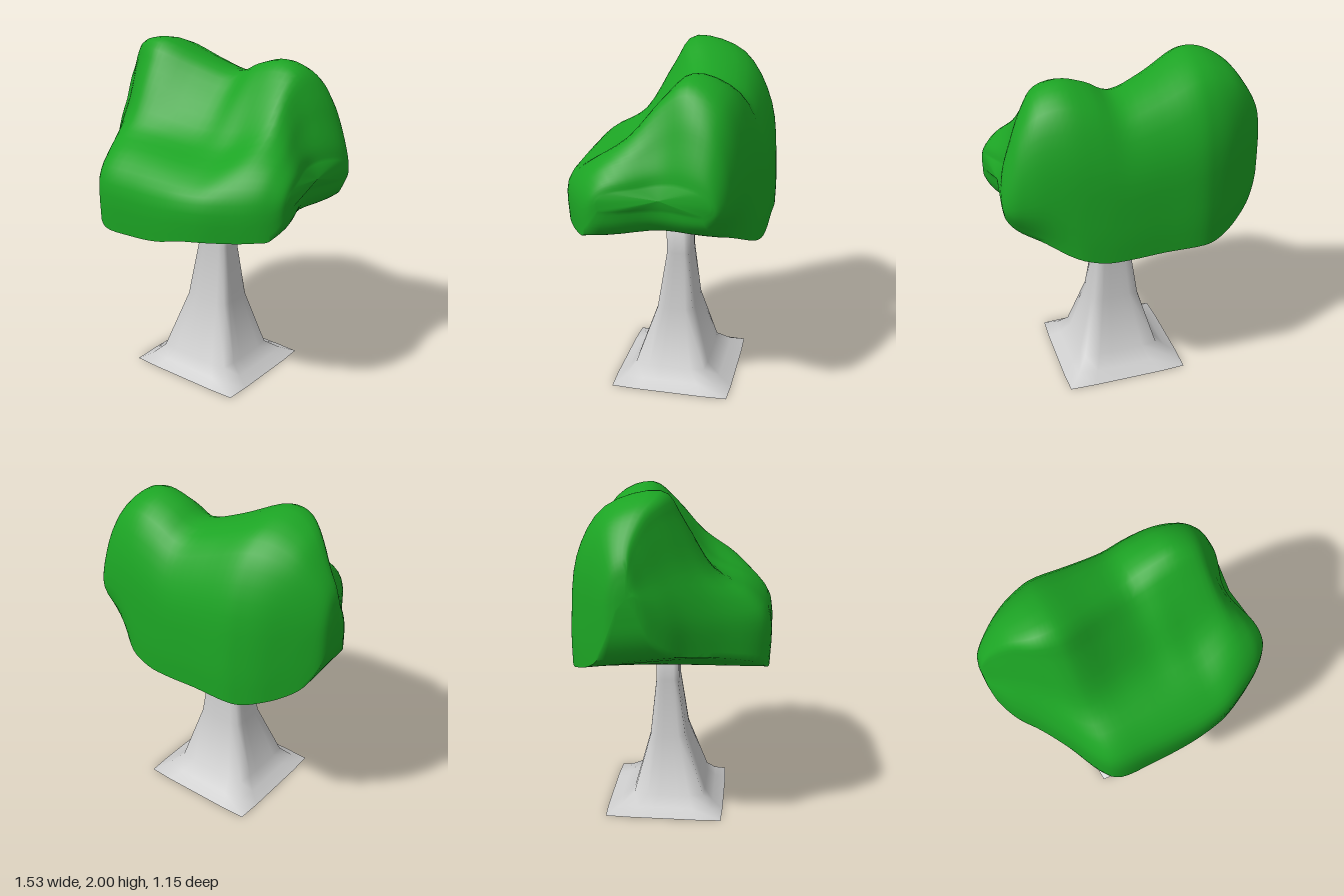
import * as THREE from 'three';
import { toCreasedNormals } from 'three/addons/utils/BufferGeometryUtils.js';

const { lerp, smoothstep } = THREE.MathUtils;

// Skins a list of closed rings (arrays of Vector3) and closes both ends with a fan.
function loft(rings) {
  const n = rings[0].length, pos = [], index = [];
  rings.forEach(ring => ring.forEach(p => pos.push(p.x, p.y, p.z)));
  for (let i = 0; i < rings.length - 1; i++) {
    for (let j = 0; j < n; j++) {
      const a = i * n + j, b = i * n + (j + 1) % n;
      index.push(a, b, a + n, b, b + n, a + n);
    }
  }
  [0, rings.length - 1].forEach((r, end) => {
    const c = new THREE.Vector3();
    rings[r].forEach(p => c.addScaledVector(p, 1 / n));
    const centre = pos.length / 3;
    pos.push(c.x, c.y, c.z);
    for (let j = 0; j < n; j++) {
      const a = r * n + j, b = r * n + (j + 1) % n;
      if (end) index.push(a, b, centre); else index.push(b, a, centre);
    }
  });
  const g = new THREE.BufferGeometry();
  g.setAttribute('position', new THREE.Float32BufferAttribute(pos, 3));
  g.setIndex(index);
  return g;
}

// Trunk: square flared foot that narrows into a soft-cornered stem.
function trunkGeometry() {
  // y, left x, right x, back z, front z, roundness exponent
  const levels = [
    [0, -0.315, 0.435, -0.41, 0.305, 40],
    [0.04, -0.245, 0.365, -0.33, 0.24, 25],
    [0.1, -0.185, 0.3, -0.25, 0.19, 20],
    [0.45, -0.085, 0.205, -0.155, 0.07, 16],
    [0.8, -0.04, 0.16, -0.12, 0.02, 12],
    [1.07, -0.045, 0.165, -0.12, 0.025, 12]
  ];
  const sides = 24;
  return toCreasedNormals(loft(levels.map(([y, x0, x1, z0, z1, e]) =>
    Array.from({ length: sides }, (_, j) => {
      const a = j / sides * Math.PI * 2, c = Math.cos(a), s = -Math.sin(a);
      const r = Math.pow(Math.abs(c) ** e + Math.abs(s) ** e, -1 / e);
      return new THREE.Vector3((x0 + x1) / 2 + c * r * (x1 - x0) / 2, y,
        (z0 + z1) / 2 + s * r * (z1 - z0) / 2);
    }))), 1.8);
}

// Crown: slices along x, each with a front ledge, a peak and a steep back.
function crownGeometry() {
  // x, back z, front z, top y, top z, ledge y, front rim y, back rim y
  const slices = [
    [-0.77, -0.24, -0.14, 1.57, -0.19, 1.51, 1.44, 1.44],
    [-0.75, -0.3, -0.08, 1.68, -0.19, 1.46, 1.29, 1.27],
    [-0.69, -0.36, 0.02, 1.79, -0.18, 1.42, 1.18, 1.14],
    [-0.6, -0.43, 0.13, 1.91, -0.13, 1.4, 1.14, 1.07],
    [-0.5, -0.5, 0.29, 1.975, -0.07, 1.39, 1.11, 1.03],
    [-0.4, -0.545, 0.48, 2, -0.05, 1.4, 1.06, 1],
    [-0.3, -0.57, 0.555, 1.985, -0.06, 1.43, 1, 1],
    [-0.1, -0.57, 0.565, 1.9, -0.13, 1.43, 1, 1],
    [0.1, -0.57, 0.567, 1.845, -0.18, 1.42, 1.02, 0.99],
    [0.25, -0.56, 0.56, 1.91, -0.18, 1.41, 1.06, 0.99],
    [0.4, -0.535, 0.53, 1.945, -0.18, 1.41, 1.08, 1.03],
    [0.55, -0.49, 0.46, 1.895, -0.18, 1.42, 1.09, 1.1],
    [0.65, -0.45, 0.4, 1.77, -0.19, 1.43, 1.1, 1.14],
    [0.71, -0.42, 0.35, 1.63, -0.19, 1.42, 1.11, 1.18],
    [0.75, -0.385, 0.3, 1.51, -0.18, 1.4, 1.18, 1.23],
    [0.765, -0.35, 0.25, 1.42, -0.17, 1.37, 1.27, 1.29]
  ];
  const width = slices[0].length, last = slices.length - 1;
  const spline = new THREE.CubicInterpolant(
    Float32Array.from(slices, (_, i) => i), Float32Array.from(slices.flat()), width,
    new Float32Array(width));
  const rings = [], steps = last * 4;
  for (let i = 0; i <= steps; i++) {
    const [x, zB, zF, yT, zT, yL, yF, yB] = spline.evaluate(i / steps * last);
    // the ledge fades into a fuller slope towards both ends
    const full = 0.2 * smoothstep(Math.abs(x), 0.3, 0.6);
    const rimZ = lerp(zB, zT, 0.3 * smoothstep(x, 0.35, 0.7));
    const front = (u, v) => [lerp(zF, zT, u), lerp(yL, yT, v)];
    const back = (u, v) => [lerp(zT, zB, u), lerp(yT, yB, v)];
    const profile = new THREE.SplineCurve([
      [zF, yF], [zF, lerp(yF, yL, 0.65)], front(0.17, full / 2), front(0.5, 0.23 + full),
      front(0.78, 0.72 + full / 2), [zT, yT], back(0.6, 0.09), back(0.92, 0.37),
      back(1, 0.75), [rimZ, yB]
    ].map(p => new THREE.Vector2(...p))).getPoints(36);
    // underside between the rims, slightly hollow around the trunk
    const lift = 0.06 * smoothstep(x, -0.3, 0.1) * (1 - smoothstep(x, 0.3, 0.7));
    for (let k = 1; k < 10; k++) {
      const t = k / 10;
      profile.push(new THREE.Vector2(lerp(rimZ, zF, t),
        lerp(yB, yF, t) + lift * Math.sin(Math.PI * t)));
    }
    // vertical hollow in the left end
    const dent = 0.08 * smoothstep(x, 0.45, 0.74);
    rings.push(profile.reverse().map(p => new THREE.Vector3(
      x - dent * Math.exp(-(((p.x + 0.05) / 0.18) ** 2)), p.y, p.x)));
  }
  return toCreasedNormals(loft(rings), 1.1);
}

export function createModel() {
  const tree = new THREE.Group();
  tree.name = 'tree';

  const trunk = new THREE.Mesh(trunkGeometry(),
    new THREE.MeshStandardMaterial({ color: 0xcccccc }));
  trunk.name = 'trunk';

  const crown = new THREE.Mesh(crownGeometry(),
    new THREE.MeshStandardMaterial({ color: 0x1ca424 }));
  crown.name = 'crown';

  tree.add(trunk, crown);
  return tree;
}
